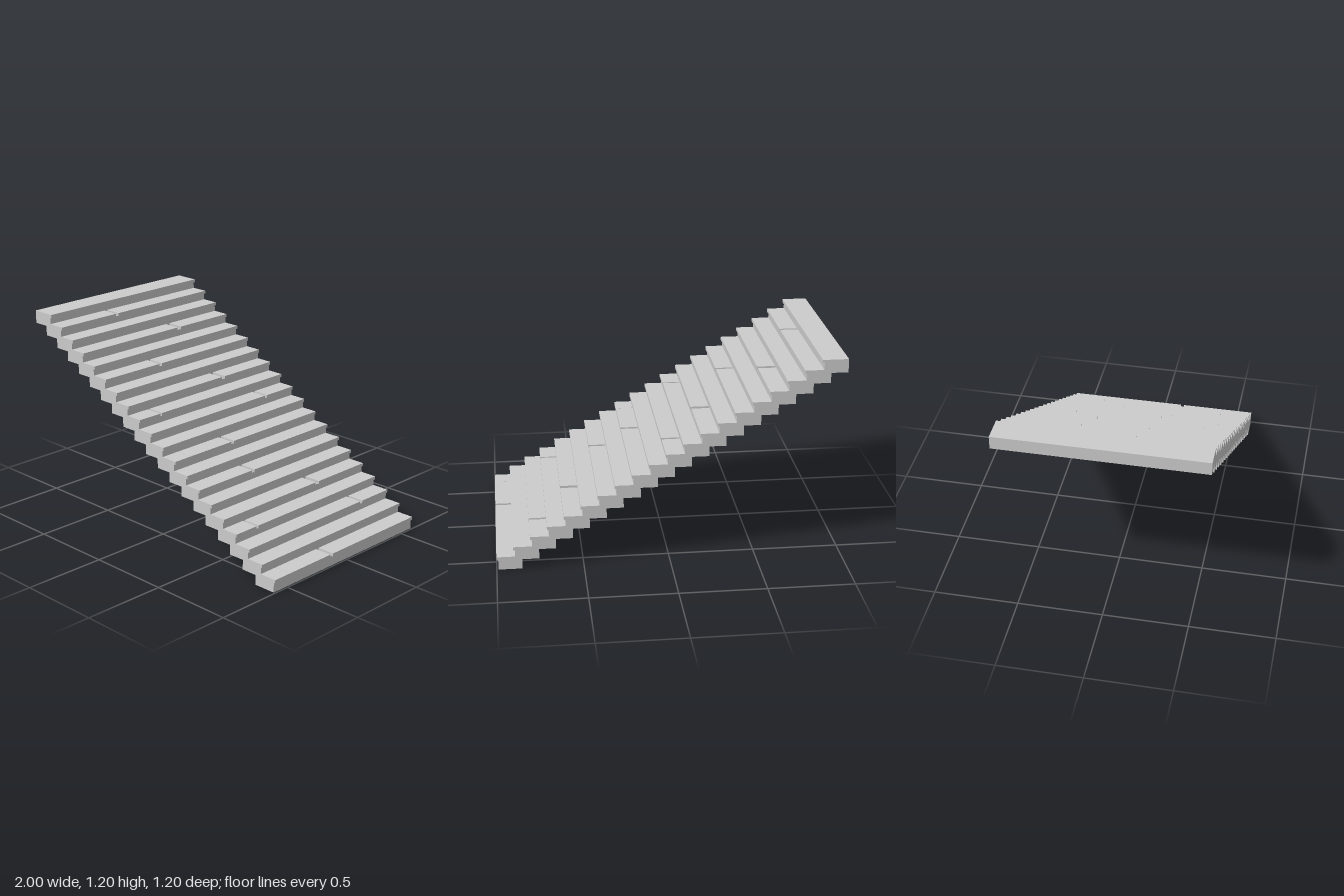
import * as THREE from 'three';

const STEPS = 20, RUN = 0.0975, RISE = 0.0589, TREAD = 0.0191;
const BACK = 0.8525, FRONT = 0.99, NOSE = 1.0, HALF = 0.6;

// Gaps between tread planks: step index -> [centre z, width], from back to front
const SEAM = [0.48, 0.002];
const GAPS = {
  0: [[0.133, 0.022], SEAM], 8: [[0.135, 0.022], SEAM],
  2: [[-0.355, 0.02]], 10: [[-0.355, 0.02]],
  3: [[0.433, 0.014]], 11: [[0.433, 0.014]],
  4: [[-0.18, 0.03]], 12: [[-0.18, 0.03]], 16: [[-0.18, 0.03]],
  6: [[0.163, 0.02]], 14: [[0.163, 0.02]], 18: [[0.163, 0.02]],
};

export function createModel() {
  const model = new THREE.Group();
  model.name = 'staircase';
  const material = new THREE.MeshStandardMaterial({ color: 0xcccccc, flatShading: true });

  // Box given by its limits on each axis
  const block = (name, parent, x0, x1, y0, y1, z0, z1) => {
    const mesh = new THREE.Mesh(new THREE.BoxGeometry(x1 - x0, y1 - y0, z1 - z0), material);
    mesh.position.set((x0 + x1) / 2, (y0 + y1) / 2, (z0 + z1) / 2);
    mesh.name = name;
    parent.add(mesh);
  };

  for (let i = 0; i < STEPS; i++) {
    const step = new THREE.Group();
    step.name = `step${i + 1}`;
    step.position.set(-RUN * i, RISE * i, 0);
    model.add(step);

    // Solid body forming the riser and the stepped underside
    block('stepBody', step, BACK, FRONT, 0, RISE, -HALF, HALF);

    // Tread planks overhang the riser and stop against the next one
    const treadBack = i === STEPS - 1 ? BACK : FRONT - RUN;
    let z = -HALF;
    for (const [centre, width] of GAPS[i] ?? []) {
      block('treadPlank', step, treadBack, NOSE, RISE, RISE + TREAD, z, centre - width / 2);
      z = centre + width / 2;
    }
    block('treadPlank', step, treadBack, NOSE, RISE, RISE + TREAD, z, HALF);
  }
  return model;
}
